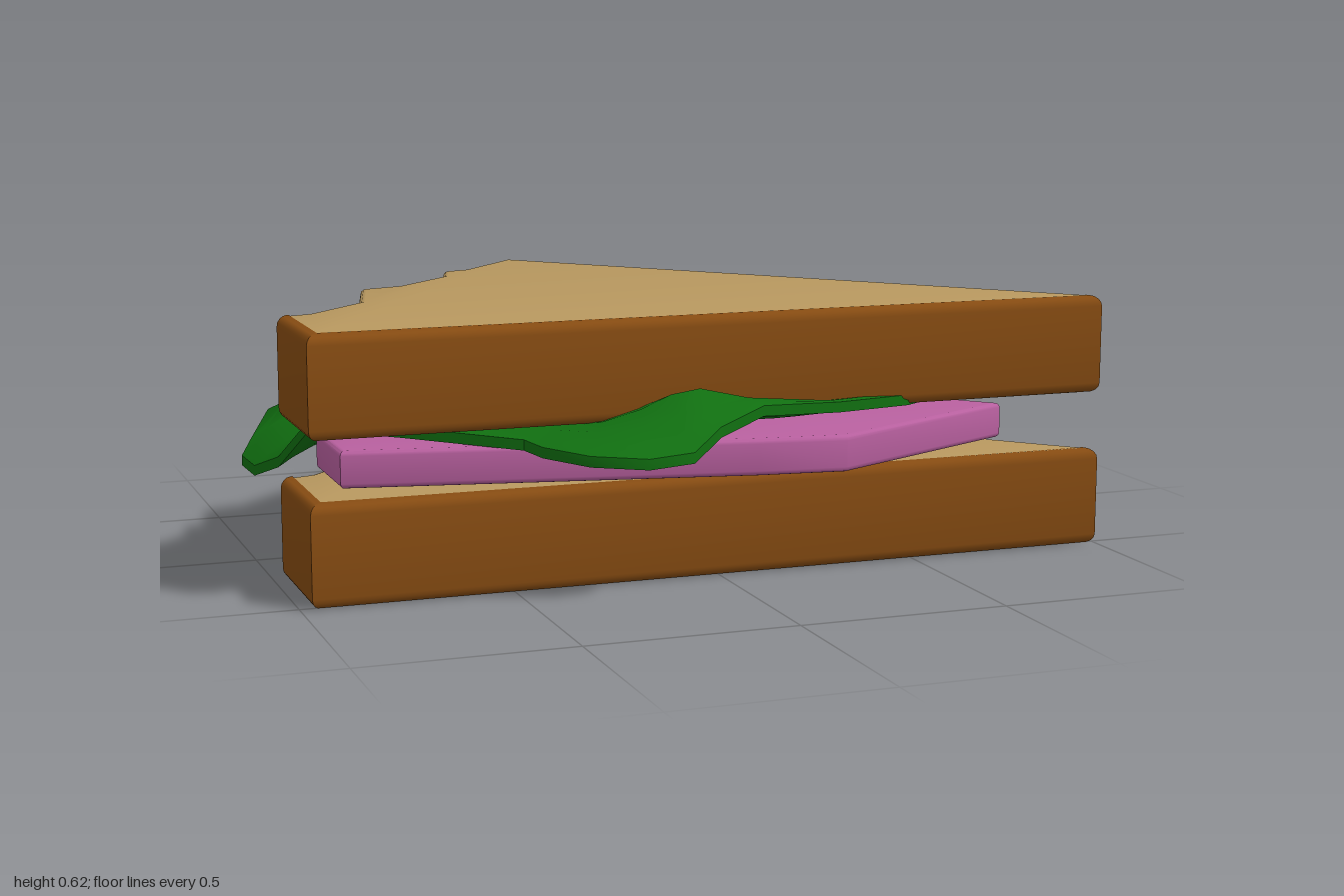
import * as THREE from 'three';
import { toCreasedNormals } from 'three/addons/utils/BufferGeometryUtils.js';

const mat = (color, side = THREE.FrontSide) => new THREE.MeshStandardMaterial({ color, side });
const CRUMB = mat(0xb8985f), CRUST = mat(0x874c12), HAM = mat(0xb8609f);
const LEAF = mat(0x117011, THREE.DoubleSide);

// Bitten edge shared by bread and ham, from the back tip to the left side (x, z)
const bite = [
  [-0.155, -0.71], [-0.33, -0.52], [-0.39, -0.5], [-0.42, -0.4], [-0.58, -0.245],
  [-0.68, -0.215], [-0.74, 0.02], [-0.9, 0.18],
];

// Flat slab with softly rounded rims, standing on y = 0
function slab(outline, height, bevel) {
  const shape = new THREE.Shape(outline.map(([x, z]) => new THREE.Vector2(x, -z)));
  const geo = new THREE.ExtrudeGeometry(shape, {
    depth: height - 2 * bevel, bevelThickness: bevel, bevelSize: bevel,
    bevelOffset: -bevel, bevelSegments: 3,
  });
  geo.rotateX(-Math.PI / 2).translate(0, bevel, 0);
  return toCreasedNormals(geo, 0.6);
}

function buildGeometry(positions, index, crease) {
  const geo = new THREE.BufferGeometry();
  geo.setAttribute('position', new THREE.Float32BufferAttribute(positions, 3));
  geo.setIndex(index);
  return toCreasedNormals(geo, crease);
}

// Rounded crust strip swept along the front and left sides
function crustGeometry(h) {
  const stations = [ // inner x, z, outer x, z
    [0.967, 0.495, 0.995, 0.525],
    [-0.945, 0.495, -0.975, 0.525],
    [-0.945, 0.19, -0.975, 0.2],
  ];
  const profile = [[0, 0]]; // outward fraction, height
  const r = 0.025;
  for (const top of [0, 1]) {
    for (let k = 0; k <= 4; k++) {
      const a = (k / 4) * Math.PI / 2;
      profile.push(top ? [0.17 + 0.83 * Math.cos(a), h - r + r * Math.sin(a)]
        : [0.17 + 0.83 * Math.sin(a), r - r * Math.cos(a)]);
    }
  }
  profile.push([0, h]);
  const n = profile.length, pos = [], idx = [];
  for (const [ix, iz, ox, oz] of stations) {
    for (const [t, y] of profile) pos.push(ix + (ox - ix) * t, y, iz + (oz - iz) * t);
  }
  for (let i = 0; i < stations.length - 1; i++) {
    for (let j = 0; j < n - 1; j++) {
      const a = i * n + j, b = a + n;
      idx.push(a, a + 1, b, b, a + 1, b + 1);
    }
  }
  const e = (stations.length - 1) * n;
  for (let j = 1; j < n - 1; j++) idx.push(0, j + 1, j, e, e + j, e + j + 1);
  return buildGeometry(pos, idx, 0.6);
}

// Leaf sheet: rings from the middle to a wavy rim, doubled for thickness
function lettuceGeometry() {
  const rim = [ // x, z, y
    [-0.48, 0.52, 0.355], [-0.46, 0.6, 0.35], [-0.39, 0.73, 0.35], [-0.27, 0.78, 0.345],
    [-0.16, 0.77, 0.35], [-0.07, 0.7, 0.375], [0.07, 0.61, 0.375], [0.28, 0.565, 0.37],
    [0.48, 0.52, 0.37], [0.69, 0.26, 0.37], [0.53, 0.02, 0.37], [0.42, -0.16, 0.4],
    [0.25, -0.35, 0.38], [0.08, -0.55, 0.365], [-0.16, -0.78, 0.41], [-0.18, -0.7, 0.395],
    [-0.34, -0.55, 0.36], [-0.41, -0.53, 0.365], [-0.44, -0.43, 0.375], [-0.58, -0.3, 0.39],
    [-0.62, -0.25, 0.39], [-0.71, -0.18, 0.375], [-0.82, -0.175, 0.38], [-0.92, -0.215, 0.33],
    [-0.965, -0.21, 0.26], [-1, -0.15, 0.23], [-1, 0.01, 0.235], [-0.96, 0.1, 0.27],
    [-0.9, 0.18, 0.37], [-0.72, 0.35, 0.37],
  ];
  const rings = [0.3, 0.5, 0.6, 0.7, 0.8, 0.9, 0.96, 1];
  const cx = -0.1, cz = 0.1, thick = 0.025, n = rim.length;
  const bump = (x, z, bx, bz, wx, wz) => Math.exp(-(((x - bx) / wx) ** 2) - ((z - bz) / wz) ** 2);
  const top = [cx, 0.37, cz];
  for (const t of rings) {
    for (const [rx, rz, ry] of rim) {
      const x = cx + (rx - cx) * t, z = cz + (rz - cz) * t;
      const y = 0.37 + (ry - 0.37) * t ** 6
        + 0.09 * bump(x, z, -0.08, 0.57, 0.19, 0.1) + 0.055 * bump(x, z, 0.37, 0.53, 0.16, 0.08);
      top.push(x, y, z);
    }
  }
  const count = top.length / 3, faces = [];
  const at = (r, i) => 1 + r * n + (i % n);
  for (let i = 0; i < n; i++) {
    faces.push([0, at(0, i), at(0, i + 1)]);
    for (let r = 0; r < rings.length - 1; r++) {
      const a = at(r, i), b = at(r, i + 1), c = at(r + 1, i), d = at(r + 1, i + 1);
      faces.push([a, c, d], [a, d, b]);
    }
  }
  const idx = [];
  for (const [a, b, c] of faces) idx.push(a, b, c, a + count, c + count, b + count);
  for (let i = 0; i < n; i++) {
    const c = at(rings.length - 1, i), d = at(rings.length - 1, i + 1);
    idx.push(c, c + count, d + count, c, d + count, d);
  }
  const bottom = top.map((v, k) => (k % 3 === 1 ? v - thick : v));
  return buildGeometry([...top, ...bottom], idx, 0.7);
}

export function createModel() {
  const model = new THREE.Group();
  model.name = 'sandwich';
  const add = (parent, name, geo, material, y = 0) => {
    const mesh = new THREE.Mesh(geo, material);
    mesh.name = name;
    mesh.position.y = y;
    parent.add(mesh);
  };

  // Two identical bread slices
  const crumbGeo = slab([[-0.96, 0.51], [0.981, 0.51], ...bite, [-0.96, 0.197]], 0.24, 0.015);
  const crustGeo = crustGeometry(0.24);
  for (const [name, y] of [['bottomBread', 0], ['topBread', 0.38]]) {
    const slice = new THREE.Group();
    slice.name = name;
    slice.position.y = y;
    add(slice, 'crumb', crumbGeo, CRUMB);
    add(slice, 'crust', crustGeo, CRUST);
    model.add(slice);
  }

  // Ham slice poking out at the front
  const hamOutline = [[-0.88, 0.41], [0.07, 0.59], [0.28, 0.615], [0.82, 0.34],
    ...bite.slice(0, -1), [-0.88, 0.16]];
  add(model, 'ham', slab(hamOutline, 0.088, 0.012), HAM, 0.247);

  // Lettuce leaf with a raised front ruffle and a drooping left lobe
  add(model, 'lettuce', lettuceGeometry(), LEAF);
  return model;
}
